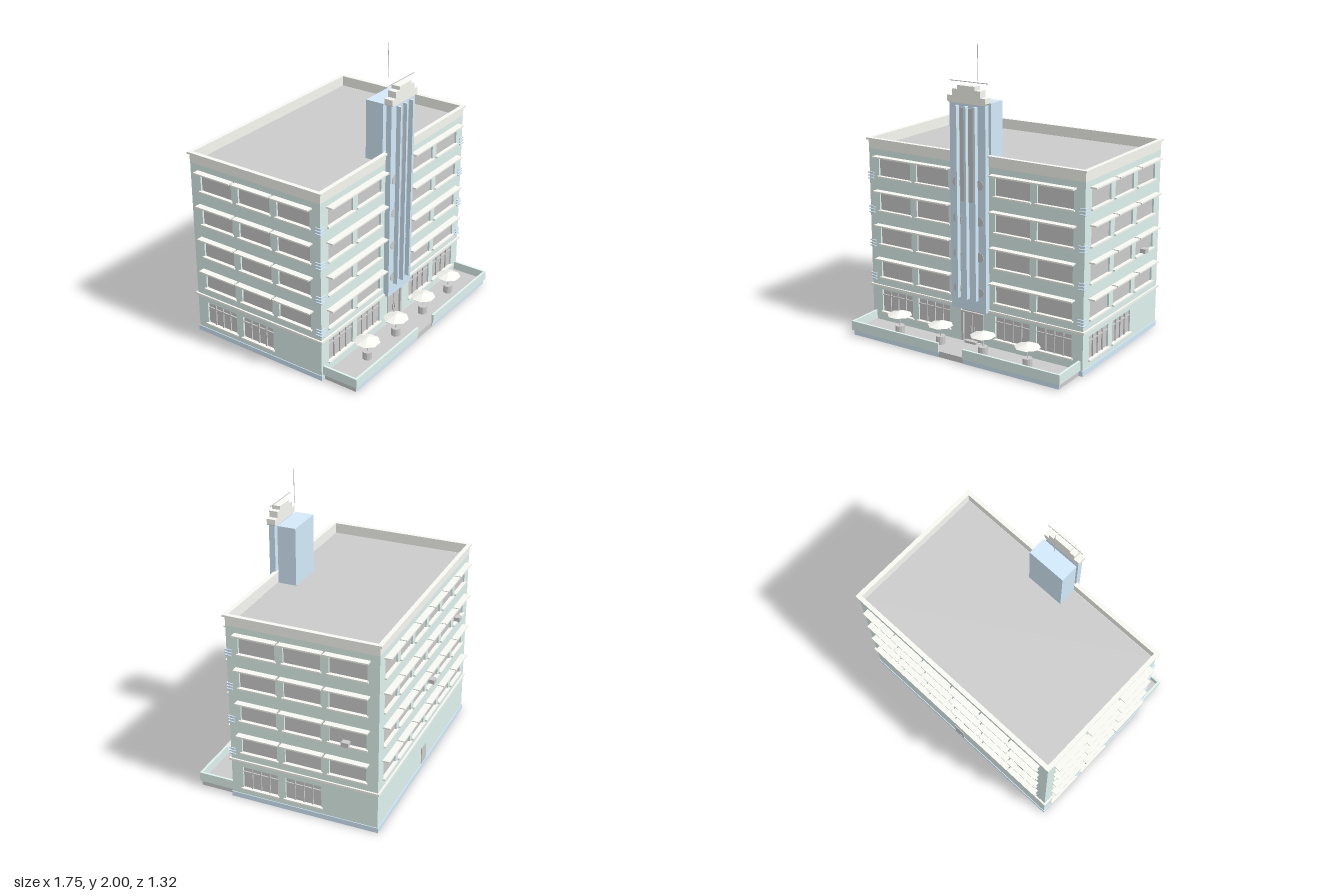
import * as THREE from 'three';

const paint = (color) => new THREE.MeshStandardMaterial({ color, side: THREE.DoubleSide, flatShading: true });

export function createModel() {
  const model = new THREE.Group();
  const mint = paint(0xdff3ee), blue = paint(0xd3e9fa), cream = paint(0xf8f8f3), grey = paint(0xcccccc);

  const add = (parent, name, geometry, material, x = 0, y = 0, z = 0) => {
    const mesh = new THREE.Mesh(geometry, material);
    mesh.name = name;
    mesh.position.set(x, y, z);
    parent.add(mesh);
    return mesh;
  };
  // Box given by its two extents on each axis
  const box = (parent, name, material, x0, x1, y0, y1, z0, z1) =>
    add(parent, name, new THREE.BoxGeometry(x1 - x0, y1 - y0, z1 - z0), material,
      (x0 + x1) / 2, (y0 + y1) / 2, (z0 + z1) / 2);
  const rect = (x0, x1, y0, y1, Type = THREE.Shape) => new Type([
    [x0, y0], [x1, y0], [x1, y1], [x0, y1]].map(([x, y]) => new THREE.Vector2(x, y)));

  const W = 0.83, D = 0.51, CZ = -0.11, ROOF = 1.25;
  const rows = [0, 1, 2, 3].map((i) => 0.35 + 0.238 * i);

  // Rectangular band running round the building
  const ring = (name, material, out, thick, y0, y1) => {
    const shape = rect(-W - out, W + out, -D - out, D + out);
    const w = W + out - thick, d = D + out - thick;
    shape.holes.push(rect(-w, w, -d, d, THREE.Path));
    const g = new THREE.ExtrudeGeometry(shape, { depth: y1 - y0, bevelEnabled: false });
    add(model, name, g.rotateX(-Math.PI / 2), material, 0, y0, CZ);
  };

  // One facade: pierced wall, recessed glass, sills, sun ledges; its face lies at local z = 0
  const facade = (name, half, { centres, width, ledges, ledgeWidth, ledgeDepth, ground = [], gy = [0.08, 0.24], door }) => {
    const group = new THREE.Group();
    group.name = name;
    const wall = rect(-half, half, 0, ROOF);
    const opening = (part, x0, x1, y0, y1) => {
      wall.holes.push(rect(x0, x1, y0, y1, THREE.Path));
      add(group, part, new THREE.PlaneGeometry(x1 - x0, y1 - y0), grey, (x0 + x1) / 2, (y0 + y1) / 2, -0.013);
    };
    const sill = (c, y) => box(group, 'windowSill', cream, c - width / 2 - 0.01, c + width / 2 + 0.01, y - 0.006, y + 0.004, -0.012, 0.014);
    for (const y of rows) {
      for (const c of centres) {
        opening('windowGlass', c - width / 2, c + width / 2, y, y + 0.125);
        sill(c, y);
      }
      for (const c of ledges)
        box(group, 'sunLedge', cream, c - ledgeWidth / 2, c + ledgeWidth / 2, y + 0.135, y + 0.145, -0.005, ledgeDepth);
    }
    for (const c of ground) {
      opening('groundWindow', c - width / 2, c + width / 2, gy[0], gy[1]);
      sill(c, gy[0]);
      box(group, 'transom', grey, c - width / 2, c + width / 2, gy[1] - 0.042, gy[1] - 0.034, -0.013, -0.004);
      for (const m of [-width / 4, 0, width / 4])
        box(group, 'mullion', grey, c + m - 0.004, c + m + 0.004, gy[0], gy[1], -0.013, -0.004);
    }
    if (door) opening('doorRecess', ...door);
    const g = new THREE.ExtrudeGeometry(wall, { depth: 0.018, bevelEnabled: false });
    add(group, 'wall', g.translate(0, 0, -0.018), mint);
    model.add(group);
    return group;
  };

  // Front, back and the two end walls
  const four = [-0.62, -0.31, 0.31, 0.62];
  const front = facade('frontFacade', W, {
    centres: four, width: 0.26, ledges: [-0.465, 0.465], ledgeWidth: 0.61, ledgeDepth: 0.048,
    ground: four, gy: [0.1, 0.26], door: [-0.09, 0.09, 0.04, 0.28],
  });
  front.position.z = CZ + D;
  const six = [-2.5, -1.5, -0.5, 0.5, 1.5, 2.5].map((k) => k * 0.256);
  const back = facade('backFacade', W, { centres: six, width: 0.21, ledges: six, ledgeWidth: 0.246, ledgeDepth: 0.045 });
  back.position.z = CZ - D;
  back.rotation.y = Math.PI;
  const ends = [1, -1].map((s) => {
    const three = [-0.305, 0, 0.305];
    const end = facade(s > 0 ? 'leftFacade' : 'rightFacade', D, {
      centres: three, width: 0.25, ledges: three, ledgeWidth: 0.29, ledgeDepth: 0.045, ground: [-0.305, 0],
    });
    end.position.set(s * W, 0, CZ);
    end.rotation.y = s * Math.PI / 2;
    return end;
  });

  // Back door and air conditioners
  box(back, 'backDoor', grey, -0.043, 0.043, 0.04, 0.16, -0.005, 0.005);
  const cooler = (parent, x, y) => box(parent, 'airConditioner', grey, x - 0.025, x + 0.025, y, y + 0.032, -0.012, 0.026);
  cooler(back, 0.62, rows[2]);
  cooler(back, 0.12, rows[1]);
  cooler(ends[0], 0.295, rows[1]);

  // Plinth, belt course, roof and parapet
  ring('plinth', blue, 0.005, 0.02, 0, 0.035);
  ring('beltCourse', cream, 0.012, 0.02, 0.28, 0.295);
  box(model, 'roof', grey, -W + 0.005, W - 0.005, ROOF - 0.015, ROOF, CZ - D + 0.005, CZ + D - 0.005);
  ring('parapet', cream, 0.001, 0.017, ROOF, 1.312);
  ring('parapetCap', cream, 0.014, 0.03, 1.31, 1.323);

  // Triple trim lines wrapping the front corners
  for (const s of [-1, 1]) for (const y of rows) for (const k of [-1, 0, 1]) {
    const x = s * 0.815;
    box(model, 'cornerTrim', blue, x - 0.023, x + 0.023, y + k * 0.02 - 0.004, y + k * 0.02 + 0.004, 0.365, 0.409);
  }

  // Tower: face panel, tall glass, fins, portholes
  const tower = new THREE.Group();
  tower.name = 'tower';
  model.add(tower);
  box(tower, 'towerPanel', blue, -0.135, 0.135, 0.28, 1.65, 0.4, 0.438);
  box(tower, 'towerGlass', grey, -0.055, 0.055, 1.01, 1.615, 0.43, 0.443);
  for (const x of [-0.07, 0, 0.07])
    box(tower, 'towerFin', blue, x - 0.008, x + 0.008, 0.36, 1.63, 0.436, 0.47);
  for (const y of rows) for (const s of [-1, 1])
    add(tower, 'porthole', new THREE.CylinderGeometry(0.032, 0.032, 0.01, 24).rotateX(Math.PI / 2), grey, s * 0.085, y + 0.066, 0.436);
  box(tower, 'towerRearBlock', blue, -0.138, 0.138, ROOF, 1.65, 0.25, 0.378);

  // Stepped crown, half outline mirrored
  const half = [[0.135, 1.645], [0.144, 1.655], [0.144, 1.69], [0.105, 1.69], [0.105, 1.733], [0.066, 1.733], [0.066, 1.758]];
  const outline = [...half, ...half.map(([x, y]) => [-x, y]).reverse()].map(([x, y]) => new THREE.Vector2(x, y));
  add(tower, 'crown', new THREE.ExtrudeGeometry(new THREE.Shape(outline), { depth: 0.06, bevelEnabled: false }), cream, 0, 0, 0.39);
  add(tower, 'mast', new THREE.CylinderGeometry(0.002, 0.002, 0.23, 6), grey, 0, 1.885, 0.32);
  box(tower, 'aerialBar', grey, -0.145, 0.145, 1.777, 1.781, 0.418, 0.422);

  // Entrance doors, frame and step
  for (const s of [-1, 1]) {
    box(model, 'doorLeaf', grey, s * 0.034 - 0.031, s * 0.034 + 0.031, 0.045, 0.24, 0.386, 0.394);
    box(model, 'doorPost', grey, s * 0.08 - 0.008, s * 0.08 + 0.008, 0.04, 0.25, 0.384, 0.403);
    box(model, 'doorHandle', grey, s * 0.014 - 0.003, s * 0.014 + 0.003, 0.11, 0.15, 0.393, 0.401);
  }
  box(model, 'doorLintel', grey, -0.088, 0.088, 0.24, 0.25, 0.384, 0.403);
  box(model, 'doorStep', grey, -0.045, 0.045, 0.04, 0.056, 0.4, 0.43);

  // Terrace slab and its low walls
  const terrace = new THREE.Group();
  terrace.name = 'terrace';
  model.add(terrace);
  box(terrace, 'terraceSlab', grey, -0.805, 0.805, 0, 0.04, 0.405, 0.643);
  for (const s of [-1, 1]) {
    const span = (a, b) => (s > 0 ? [a, b] : [-b, -a]);
    box(terrace, 'frontTerraceWall', mint, ...span(0.095, 0.815), 0.035, 0.1, 0.641, 0.656);
    box(terrace, 'terraceBaseTrim', blue, ...span(0.095, 0.805), 0, 0.035, 0.64, 0.646);
    box(terrace, 'sideTerraceWall', mint, ...span(0.8, 0.815), 0.035, 0.1, 0.4, 0.641);
  }

  // Tables with octagonal parasols
  for (const x of [-0.505, -0.168, 0.168, 0.505]) {
    const set = new THREE.Group();
    set.name = 'parasolTable';
    set.position.set(x, 0, 0.525);
    terrace.add(set);
    add(set, 'table', new THREE.CylinderGeometry(0.032, 0.032, 0.055, 12), grey, 0, 0.067, 0);
    add(set, 'parasolPole', new THREE.CylinderGeometry(0.003, 0.003, 0.1, 6), grey, 0, 0.14, 0);
    add(set, 'parasolCanopy', new THREE.ConeGeometry(0.085, 0.028, 8, 1, true).rotateY(Math.PI / 8), cream, 0, 0.183, 0);
  }
  return model;
}
